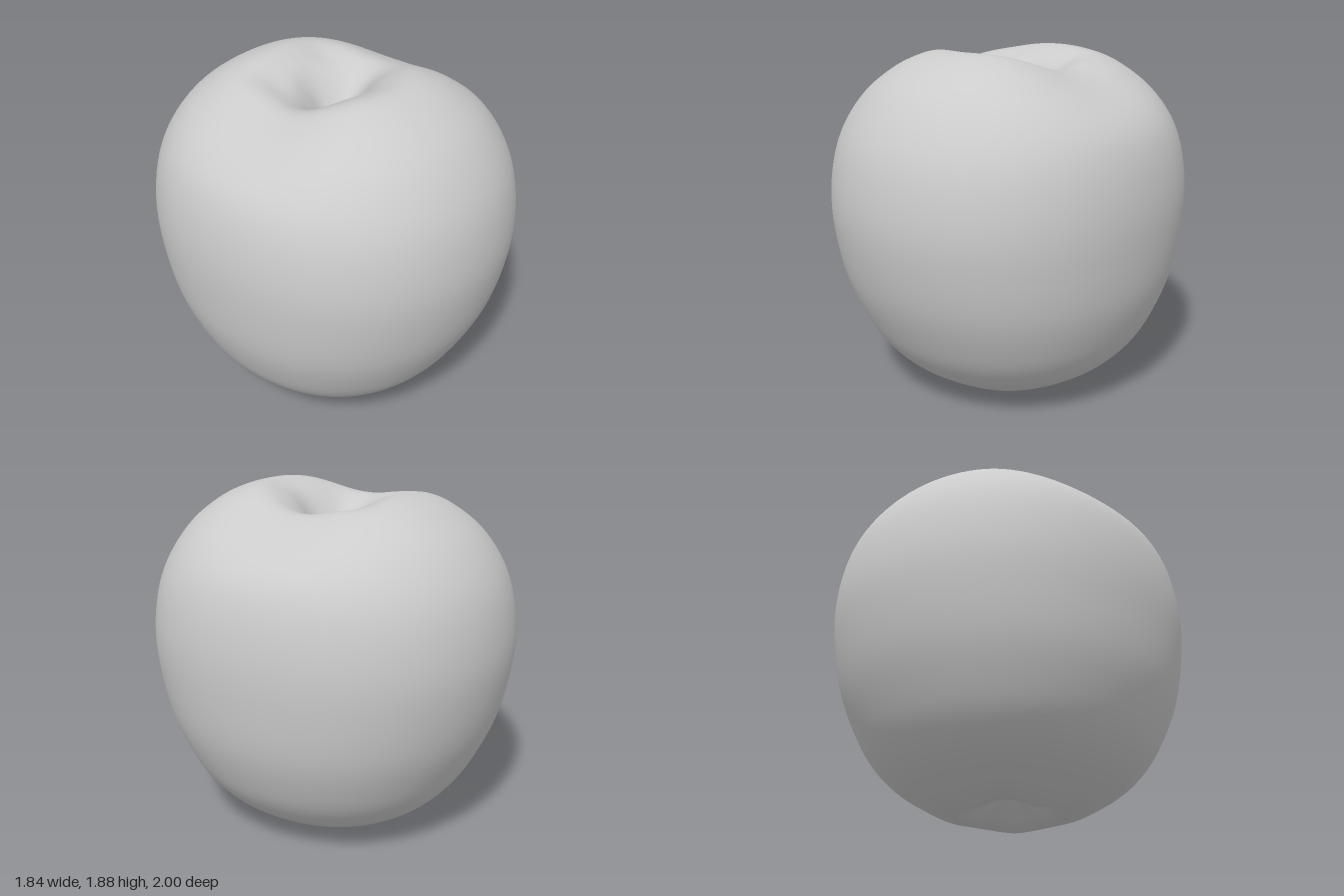
import * as THREE from 'three';
import { mergeVertices } from 'three/addons/utils/BufferGeometryUtils.js';

// Half profile of the fruit, from the bottom hollow to the stem hollow: [radius, height]
const PROFILE = [
  [0, 0.16], [0.05, 0.14], [0.13, 0.08], [0.21, 0.025], [0.29, 0.005], [0.38, 0.03], [0.48, 0.08],
  [0.62, 0.17], [0.73, 0.28], [0.82, 0.42], [0.92, 0.64], [0.98, 0.88], [1, 1.1], [0.97, 1.33],
  [0.9, 1.51], [0.78, 1.68], [0.63, 1.8], [0.5, 1.86], [0.4, 1.88], [0.31, 1.86], [0.22, 1.81],
  [0.14, 1.72], [0.06, 1.6], [0, 1.54],
];

const gauss = (d, w) => Math.exp(-(d * d) / (w * w));

// Turns the round lathe into an uneven fruit: narrower sides, lower side rims, lobed base
function shapeFruit(p) {
  const r = Math.hypot(p.x, p.z);
  if (r < 1e-5) return p.set(0, p.y, 0);
  const sx = p.x / r, cz = p.z / r, y = p.y;
  const phi = Math.atan2(p.x, p.z);

  // sides narrower than front and back, less so near the base
  const side = 0.02 + 0.06 * THREE.MathUtils.smoothstep(y, 0.2, 1.1);
  const scale = 1 - side * sx * sx + 0.08 * sx * sx * cz * cz;

  // rim dips towards the left and right, and is slightly lower at the back
  const high = THREE.MathUtils.smoothstep(y, 1.45, 1.86);
  let dy = -0.1 * high * Math.pow(sx, 4) - 0.02 * high * Math.max(0, -cz);

  // two shallow furrows run out of the stem hollow towards the back
  if (y > 1.4) {
    const furrow = gauss(Math.hypot(Math.abs(p.x) - 0.22, p.z + 0.26), 0.13);
    dy -= 0.035 * furrow;
  }
  // five soft lobes round the base hollow
  if (y < 0.4) dy += 0.012 * (1 + Math.cos(5 * phi)) * gauss(r - 0.24, 0.14);

  return p.set(p.x * scale, y + dy, p.z * scale);
}

export function createModel() {
  const group = new THREE.Group();
  group.name = 'apple';

  const curve = new THREE.SplineCurve(PROFILE.map(([r, y]) => new THREE.Vector2(r, y)));
  const points = curve.getPoints(110);
  points.forEach((p) => { p.x = Math.max(0, p.x); });

  let geometry = new THREE.LatheGeometry(points, 120);
  const position = geometry.attributes.position;
  const v = new THREE.Vector3();
  for (let i = 0; i < position.count; i++) {
    shapeFruit(v.fromBufferAttribute(position, i));
    position.setXYZ(i, v.x, v.y, v.z);
  }

  // weld the seam and poles for continuous smooth shading
  geometry.deleteAttribute('uv');
  geometry.deleteAttribute('normal');
  geometry = mergeVertices(geometry, 1e-4);
  geometry.computeVertexNormals();
  geometry.computeBoundingBox();
  geometry.translate(0, -geometry.boundingBox.min.y, 0);

  const fruit = new THREE.Mesh(geometry, new THREE.MeshStandardMaterial({ color: 0xcccccc }));
  fruit.name = 'fruitBody';
  group.add(fruit);
  return group;
}
